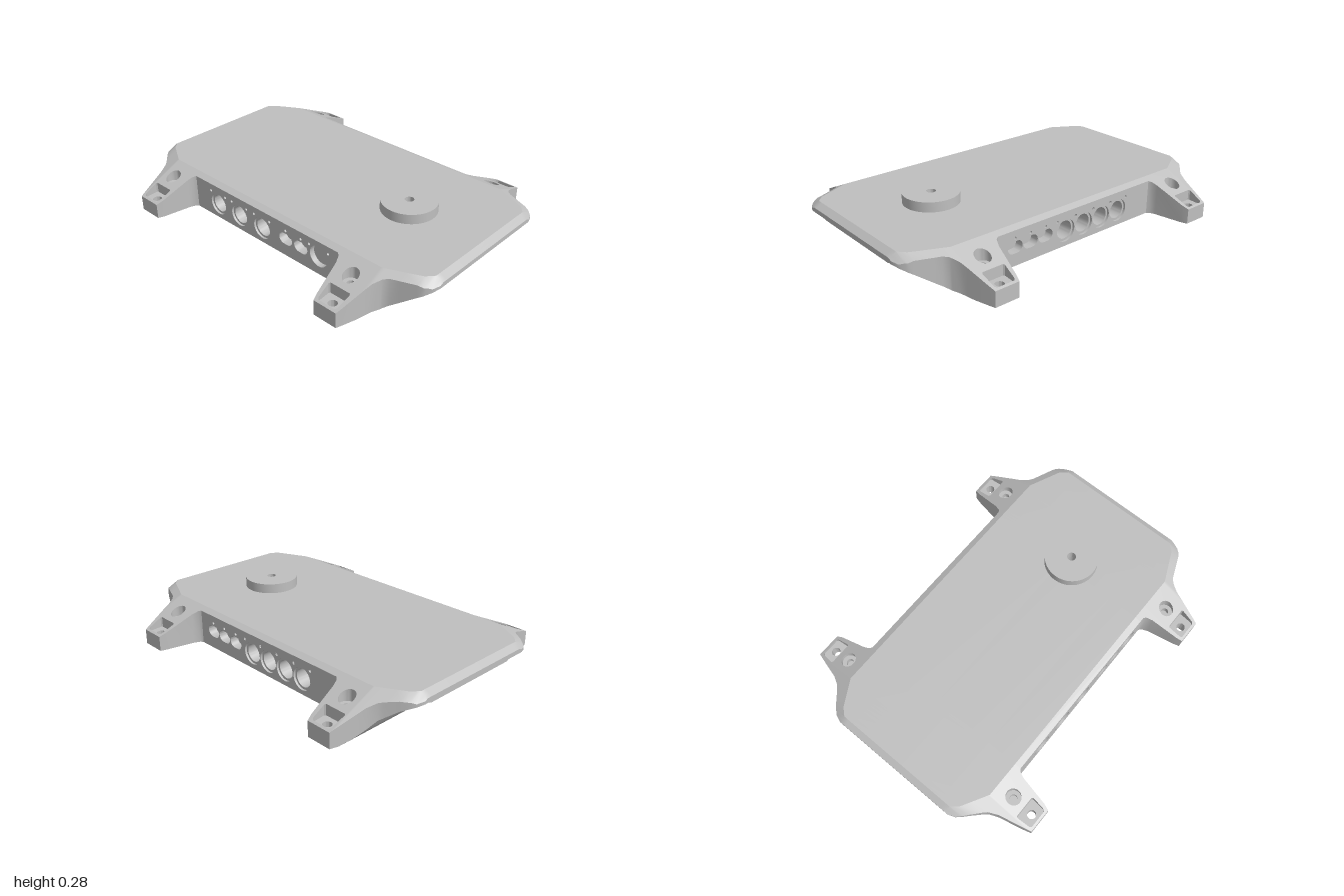
import * as THREE from 'three';
import { toCreasedNormals } from 'three/addons/utils/BufferGeometryUtils.js';

const grey = new THREE.MeshStandardMaterial({ color: 0xbfbfbf, side: THREE.DoubleSide });
grey.name = 'light grey';

const BASE = 0.015, TOP = 0.225, RAMP = 0.455, WALL = 0.525, KNOB_X = 0.515;
const FEET = [-0.717, 0.64], FOOT_HALF = 0.07, FOOT_Z = 0.765;

// Piecewise linear curves along x: plan outline, lid crease and underside height
const outline = [[-1, 0.38], [-0.985, 0.42], [-0.955, 0.45], [-0.88, 0.515], [-0.86, 0.535], [-0.835, 0.585],
  [-0.797, 0.73], [-0.787, FOOT_Z], [-0.647, FOOT_Z], [-0.635, 0.73], [-0.61, 0.57], [-0.6, 0.54], [-0.585, WALL],
  [0.5, WALL], [0.515, 0.535], [0.53, 0.57], [0.56, 0.73], [0.57, FOOT_Z], [0.71, FOOT_Z], [0.72, 0.73],
  [0.76, 0.575], [0.785, 0.53], [0.81, 0.51], [0.955, 0.45], [0.985, 0.42], [1, 0.38]];
const crease = [[-1, 0.36], [-0.965, 0.37], [-0.93, 0.41], [-0.79, 0.49], [0.75, 0.49], [0.93, 0.41], [0.965, 0.37], [1, 0.36]];
const belly = [[-1, 0.175], [-0.93, 0.145], [-0.86, 0.095], [-0.82, 0.035], [-0.8, BASE],
  [0.74, BASE], [0.78, 0.028], [0.85, 0.075], [0.93, 0.13], [1, 0.175]];

function sample(curve, x) {
  for (let i = 1; i < curve.length; i++) {
    const [x0, y0] = curve[i - 1], [x1, y1] = curve[i];
    if (x <= x1) return y0 + (y1 - y0) * (x - x0) / (x1 - x0);
  }
  return curve[curve.length - 1][1];
}
const rampY = z => TOP - RAMP * (Math.abs(z) - 0.49);
function topY(x, z) {
  const lid = TOP - 0.7 * Math.max(0, Math.abs(x) - 0.965);
  return lid - RAMP * Math.max(0, Math.abs(z) - sample(crease, x));
}
// Underside: curved ends, with a flat scooped slope towards +x
function bottomY(x, z) {
  const scoop = BASE + 0.27 * (x - 0.47) - 0.9 * Math.max(0, Math.abs(z) - 0.31);
  return Math.max(sample(belly, x), scoop);
}

function soup(points, angle = 0.5) {
  const g = new THREE.BufferGeometry().setFromPoints(points);
  g.computeVertexNormals();
  return toCreasedNormals(g, angle);
}
function quad(out, a, b, c, d, flip) {
  if (flip) out.push(a, c, b, a, d, c);
  else out.push(a, b, c, a, c, d);
}
function add(parent, geometry, name) {
  const m = new THREE.Mesh(geometry, grey);
  m.name = name;
  parent.add(m);
  return m;
}

// Contours in plan (x, z)
const circle = (x, z, r, n = 32) => Array.from({ length: n }, (_, i) =>
  new THREE.Vector2(x + r * Math.cos(i / n * 2 * Math.PI), z + r * Math.sin(i / n * 2 * Math.PI)));
const poly = list => list.map(p => new THREE.Vector2(...p));
const rect = (x0, x1, z0, z1) => poly([[x0, z0], [x1, z0], [x1, z1], [x0, z1]]);
const capsule = (x, z, w, h) => circle(0, 0, h / 2).map(p =>
  new THREE.Vector2(x + p.x + Math.sign(Math.round(p.x * 1e4)) * (w - h) / 2, z + p.y));

// Sheet with holes, lifted to height f(x, z)
function sheet(contour, holes, f, up = true) {
  const all = [contour, ...holes].flat();
  const out = [];
  for (const t of THREE.ShapeUtils.triangulateShape(contour, holes)) {
    const [a, b, c] = t.map(i => new THREE.Vector3(all[i].x, f(all[i].x, all[i].y), all[i].y));
    if (up) out.push(a, c, b); else out.push(a, b, c);
  }
  return soup(out);
}
// Inward facing wall of a hole
function well(contour, top, bottom) {
  const out = [];
  contour.forEach((p, i) => {
    const q = contour[(i + 1) % contour.length];
    const v = (s, y) => new THREE.Vector3(s.x, y, s.y);
    quad(out, v(p, top(p.x, p.y)), v(p, bottom), v(q, bottom), v(q, top(q.x, q.y)));
  });
  return soup(out);
}

function makeHull(parent) {
  const xs = [...new Set([...outline, ...crease, ...belly].map(p => p[0]).concat(0.47, 0.475, 0.555))].sort((a, b) => a - b);
  const zRow = x => {
    const c = sample(crease, x);
    const half = [0.04, 0.2, 0.31, (0.31 + c) / 2, c, sample(outline, x)];
    return [...half.map(z => -z).reverse(), ...half];
  };
  const grid = f => xs.map(x => zRow(x).map(z => new THREE.Vector3(x, f(x, z), z)));
  const T = grid(topY), B = grid(bottomY), last = T[0].length - 1;
  const top = [], bottom = [], sides = [];
  for (let i = 0; i < xs.length - 1; i++) {
    const mid = (xs[i] + xs[i + 1]) / 2;
    const inFoot = FEET.some(f => Math.abs(mid - f) < FOOT_HALF - 0.002);
    for (let j = 0; j < last; j++) {
      if (inFoot && (j === 0 || j === last - 1)) continue;
      if (Math.abs(mid - KNOB_X) < 0.03 && j === 5) continue;
      quad(top, T[i][j], T[i][j + 1], T[i + 1][j + 1], T[i + 1][j]);
      quad(bottom, B[i][j], B[i][j + 1], B[i + 1][j + 1], B[i + 1][j], true);
    }
    if (mid > -0.585 && mid < 0.5) continue;
    for (const j of [0, last]) quad(sides, B[i][j], B[i + 1][j], T[i + 1][j], T[i][j], j === 0);
  }
  for (const i of [0, xs.length - 1])
    for (let j = 0; j < last; j++) quad(sides, B[i][j], T[i][j], T[i][j + 1], B[i][j + 1], i === 0);
  add(parent, soup(top, 0.35), 'lid');
  add(parent, soup(bottom, 0.35), 'underside');
  add(parent, soup(sides, 0.6), 'sideWalls');
  // Lid and underside around the centre bore of the dial
  const cell = rect(0.475, 0.555, -0.04, 0.04), bore = [circle(KNOB_X, 0, 0.03)];
  add(parent, sheet(cell, bore, topY), 'lidBore');
  add(parent, sheet(cell, bore, bottomY, false), 'undersideBore');
  add(parent, well(bore[0], () => TOP, 0.027), 'boreWall');
}

function makeFoot(parent, x, turn) {
  const foot = new THREE.Group();
  foot.name = 'foot';
  foot.position.x = x;
  foot.rotation.y = turn;
  parent.add(foot);
  const plate = rect(-FOOT_HALF, FOOT_HALF, 0.49, FOOT_Z);
  const pocket = poly([[-0.06, 0.66], [0.06, 0.66], [0.066, 0.667], [0.059, 0.742], [0.05, 0.752], [-0.05, 0.752], [-0.059, 0.742], [-0.066, 0.667]]);
  const screw = circle(0, 0.587, 0.042), socket = circle(0, 0.587, 0.02), bolt = circle(0, 0.71, 0.024);
  const recess = rect(-0.06, 0.06, 0.51, 0.59);
  const ramp = (_, z) => rampY(z);
  add(foot, sheet(plate, [pocket, screw], ramp), 'footTop');
  add(foot, well(pocket, ramp, 0.088), 'pocketWall');
  add(foot, sheet(pocket, [bolt], () => 0.088), 'pocketFloor');
  add(foot, well(bolt, () => 0.088, BASE), 'boltHole');
  add(foot, well(screw, ramp, 0.135), 'screwHole');
  add(foot, sheet(screw, [socket], () => 0.135), 'screwSeat');
  add(foot, well(socket, () => 0.135, 0.1), 'screwSocket');
  add(foot, sheet(socket, [], () => 0.1), 'screwSocketFloor');
  add(foot, sheet(plate, [bolt, recess], () => BASE, false), 'footBottom');
  add(foot, well(recess, () => 0.075, BASE), 'recessWall');
  add(foot, sheet(recess, [], () => 0.075, false), 'recessFloor');
  for (const s of [-1, 1])
    add(foot, new THREE.BoxGeometry(0.022, 0.016, 0.04), 'peg').position.set(s * 0.036, 0.008, 0.71);
}

// Port panel, laid flat (z = -height) and then stood upright
function makePanel(parent, x0, x1, rounds, ovals, plain, turn) {
  const panel = new THREE.Group();
  panel.name = 'portPanel';
  const holes = [];
  const port = (contour, depth, name, inner) => {
    holes.push(contour);
    add(panel, well(contour, () => 0, -depth), name + 'Wall');
    add(panel, sheet(contour, inner ? [inner] : [], () => -depth), name + 'Floor');
    if (!inner) return;
    add(panel, well(inner, () => -depth, -0.09), name + 'InnerWall');
    add(panel, sheet(inner, [], () => -0.09), name + 'InnerFloor');
  };
  const lamp = x => port(circle(x, -0.167, 0.008, 12), 0.01, 'lamp');
  for (const x of rounds) {
    port(circle(x, -0.102, 0.062, 40), 0.012, 'roundPort', circle(x, -0.102, 0.05, 40));
    lamp(x - 0.06); lamp(x + 0.06);
  }
  for (const x of ovals) {
    port(capsule(x, -0.117, 0.094, 0.066), 0.05, 'ovalPort');
    lamp(x);
  }
  for (const x of plain) {
    port(circle(x, -0.122, 0.06, 40), 0.03, 'plainPort');
    lamp(x - 0.065); lamp(x + 0.065);
  }
  add(panel, sheet(rect(x0, x1, -rampY(WALL), -BASE), holes, () => 0), 'panelFace');
  panel.rotation.x = Math.PI / 2;
  panel.position.z = WALL;
  const pivot = new THREE.Group();
  pivot.name = turn ? 'backPorts' : 'frontPorts';
  pivot.rotation.y = turn;
  pivot.add(panel);
  parent.add(pivot);
}

export function createModel() {
  const model = new THREE.Group();
  model.name = 'deviceCase';
  makeHull(model);
  for (const x of FEET) for (const turn of [0, Math.PI]) makeFoot(model, x, turn);
  makePanel(model, -0.585, 0.5, [-0.4, -0.225, -0.045], [0.135, 0.245], [0.37], 0);
  makePanel(model, -0.5, 0.585, [-0.05, 0.08, 0.21, 0.34], [-0.39, -0.29, -0.19], [], Math.PI);

  // Dial with a centre bore
  const ring = [[0.025, TOP], [0.152, TOP], [0.152, 0.28], [0.025, 0.28], [0.025, TOP]];
  add(model, toCreasedNormals(new THREE.LatheGeometry(poly(ring), 64), 0.5), 'dial').position.x = KNOB_X;

  // Grip bars under both ends
  for (const s of [-1, 1]) {
    const bar = new THREE.ExtrudeGeometry(new THREE.Shape(capsule(0, 0, 0.62, 0.027)), { depth: 0.085, bevelEnabled: false });
    bar.rotateY(s * Math.PI / 2);
    add(model, toCreasedNormals(bar, 0.6), 'gripBar').position.set(s * 0.885, 0.153, 0);
  }
  return model;
}
